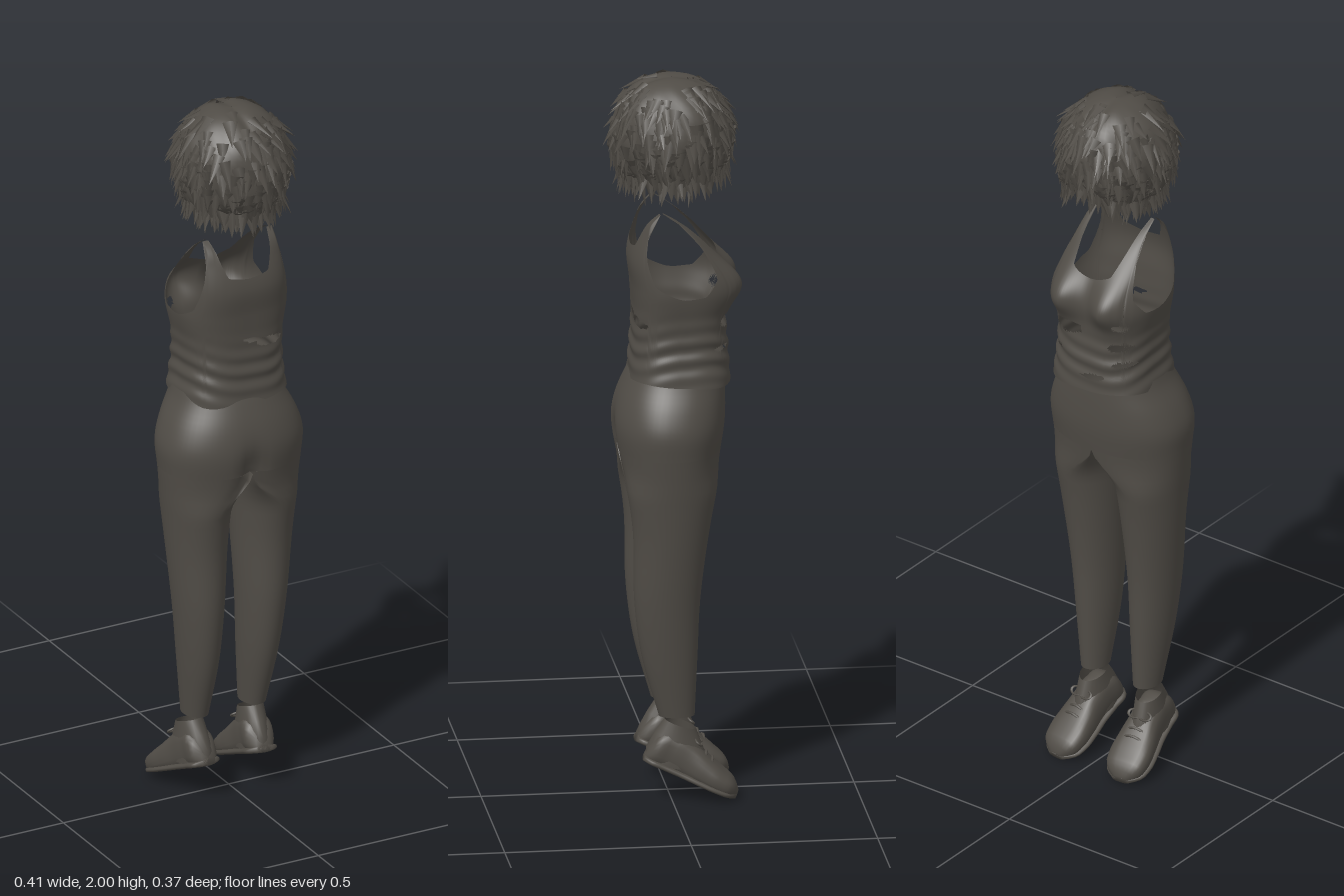
import * as THREE from 'three';
import { mergeGeometries } from 'three/addons/utils/BufferGeometryUtils.js';

const cloth = new THREE.MeshStandardMaterial({ color: 0x504c46, side: THREE.DoubleSide });
cloth.name = 'charcoal';

// Skin closed rings of points; skip(a, b, c) can leave out torn faces
function loft(rings, skip = () => false) {
  const n = rings[0].length, index = [];
  const pts = rings.flat();
  const face = (a, b, c) => { if (!skip(pts[a], pts[b], pts[c])) index.push(a, b, c); };
  for (let i = 0; i < rings.length - 1; i++) {
    for (let j = 0; j < n; j++) {
      const k = (j + 1) % n, a = i * n + j, b = i * n + k;
      face(a, b, a + n);
      face(b, b + n, a + n);
    }
  }
  const g = new THREE.BufferGeometry().setFromPoints(pts);
  g.setIndex(index);
  g.computeVertexNormals();
  return g;
}

function part(name, geometry, parent) {
  const m = new THREE.Mesh(geometry, cloth);
  m.name = name;
  parent.add(m);
  return m;
}

// Smooth or straight lookup in rows of [position, ...values]
function table(rows, Kind = THREE.CubicInterpolant) {
  const t = new Kind(rows.map(r => r[0]), rows.flatMap(r => r.slice(1)), rows[0].length - 1);
  return x => [...t.evaluate(x)];
}

const circle = (n, f) => Array.from({ length: n }, (_, j) => f(j / n * Math.PI * 2));
const steps = (n, a, b) => Array.from({ length: n + 1 }, (_, i) => a + (b - a) * i / n);
const soft = (v, p) => Math.sign(v) * Math.abs(v) ** p;
const bell = (d, w) => Math.exp(-d * d / (w * w));
const V = (x, y, z) => new THREE.Vector3(x, y, z);

// ---- Trousers: legs blend into half outlines of the hips ----
const hipAt = table([ // y, half width, front z, back z
  [0.9, 0.193, -0.127, 0.127], [0.97, 0.2, -0.14, 0.143], [1.04, 0.204, -0.15, 0.149],
  [1.1, 0.186, -0.152, 0.138], [1.17, 0.15, -0.15, 0.11], [1.19, 0.144, -0.148, 0.1]]);
const legAt = table([ // y, inner x, outer x, front z, back z
  [0.23, 0.052, 0.121, -0.063, 0.033], [0.4, 0.038, 0.142, -0.07, 0.08],
  [0.55, 0.03, 0.158, -0.076, 0.1], [0.75, 0.018, 0.178, -0.1, 0.105],
  [0.9, 0.006, 0.193, -0.127, 0.127], [0.97, 0, 0.2, -0.14, 0.143]]);

function hipPoint(a, y) {
  const [w, zf, zb] = hipAt(y);
  const x = w * soft(Math.sin(a), 0.9);
  let z = (zf + zb) / 2 + (zb - zf) / 2 * soft(Math.cos(a), 0.9);
  // soft cleft at the back
  if (Math.cos(a) > 0) z -= 0.025 * bell(x, 0.03) * bell(y - 0.97, 0.07);
  return V(x, y, z);
}

function legGeometry(side) {
  return loft(steps(30, 0.23, 0.97).map(y => {
    const [xi, xo, zf, zb] = legAt(y);
    const t = THREE.MathUtils.smoothstep(y, 0.84, 0.97);
    const ring = circle(40, a => {
      const p = V((xi + xo) / 2 + (xo - xi) / 2 * Math.sin(a), y, (zf + zb) / 2 + (zb - zf) / 2 * Math.cos(a));
      if (t > 0) {
        const h = hipPoint(a, y);
        h.x = Math.max(h.x, 0);
        p.lerp(h, t);
      }
      p.x = p.x * side - 0.012 * (0.97 - y);
      return p;
    });
    return side < 0 ? ring.reverse() : ring;
  }));
}

// ---- Vest: its upper edge forms neckline, shoulder straps and armholes ----
const vestAt = table([ // y, half width, front z, back z
  [1.16, 0.153, -0.163, 0.108], [1.25, 0.14, -0.157, 0.1], [1.34, 0.142, -0.15, 0.096],
  [1.42, 0.154, -0.152, 0.1], [1.5, 0.145, -0.122, 0.107], [1.57, 0.135, -0.07, 0.088],
  [1.61, 0.13, -0.02, 0.066], [1.635, 0.13, 0.024, 0.034]]);
const edgeAt = table([ // angle from the back, edge height
  [0, 1.53], [0.3, 1.54], [0.48, 1.59], [0.6, 1.635], [0.83, 1.635], [0.9, 1.54], [1.1, 1.445],
  [1.57, 1.41], [1.85, 1.415], [2.2, 1.46], [2.36, 1.55], [2.42, 1.635], [2.58, 1.635],
  [2.7, 1.57], [2.84, 1.51], [3.1416, 1.49]], THREE.LinearInterpolant);
const tears = [ // x, y, half width, half height, back (+1) or front (-1)
  [0.075, 1.33, 0.045, 0.013, 1], [0.07, 1.335, 0.05, 0.02, -1], [0.02, 1.345, 0.025, 0.008, 1],
  [-0.09, 1.31, 0.03, 0.011, -1], [-0.1, 1.26, 0.025, 0.008, -1], [-0.02, 1.21, 0.035, 0.008, -1],
  [0.11, 1.26, 0.02, 0.008, -1], [-0.1, 1.38, 0.018, 0.012, -1]];

function vestPoint(a, v) {
  const [edge] = edgeAt(a > Math.PI ? 2 * Math.PI - a : a);
  const hem = 1.163 + 0.008 * Math.sin(a * 2);
  const y = hem + (edge - hem) * v;
  const [w, zf, zb] = vestAt(y);
  const sx = soft(Math.sin(a), 0.7), sz = soft(Math.cos(a), 0.7);
  // gathered folds at the waist
  const fold = 1 + 0.022 * Math.sin(y * 130 + 2.5 * Math.sin(a * 2 + 1)) * bell(y - 1.25, 0.07);
  const x = w * sx * fold;
  let z = (zf + zb) / 2 + (zb - zf) / 2 * sz * fold;
  if (sz < 0) z -= 0.045 * bell(Math.abs(x) - 0.076, 0.055) * bell(y - 1.435, 0.065);
  return V(x + 0.008, y, z);
}

function torn(a, b, c) {
  const x = (a.x + b.x + c.x) / 3, y = (a.y + b.y + c.y) / 3, z = (a.z + b.z + c.z) / 3;
  return tears.some(([tx, ty, w, h, s]) => (z + 0.02) * s > 0
    && ((x - tx) / w) ** 2 + ((y - ty - (x - tx) * -0.1) / h) ** 2 < 1);
}

// ---- Shoes: tipped onto their toes ----
const shoeAt = table([ // distance from heel, half width, height
  [0, 0.02, 0.05], [0.012, 0.036, 0.085], [0.06, 0.042, 0.11], [0.11, 0.046, 0.1],
  [0.16, 0.055, 0.08], [0.21, 0.059, 0.062], [0.25, 0.046, 0.045], [0.268, 0.02, 0.025]]);

function makeShoe(side) {
  const shoe = new THREE.Group();
  shoe.name = side > 0 ? 'leftShoe' : 'rightShoe';
  const foot = new THREE.Group();
  foot.name = 'foot';
  foot.position.set(0, 0.107, 0.076);
  foot.rotation.x = -0.42;
  shoe.add(foot);
  const section = (d, grow, top) => {
    const [w, h] = shoeAt(d);
    const hh = top ?? h;
    return circle(24, a => V((w + grow) * soft(Math.sin(a), 0.75), hh / 2 + hh / 2 * soft(Math.cos(a), 0.75), -d));
  };
  const cap = rings => {
    const mid = r => { const c = r.reduce((s, p) => s.add(p), V(0, 0, 0)).divideScalar(r.length); return r.map(() => c.clone()); };
    return [mid(rings[0]), ...rings, mid(rings[rings.length - 1])];
  };
  part('upper', loft(cap(steps(24, 0, 0.268).map(d => section(d, 0)))), foot);
  part('sole', loft(cap(steps(24, 0, 0.268).map(d => section(d, 0.004, 0.02)))), foot);
  // ankle collar with an opening that slopes to the front
  part('ankleCollar', loft([[0.09, 0.042, -0.1, 0.068], [0.13, 0.042, -0.094, 0.066],
    [0.17, 0.037, -0.08, 0.043], [0.207, 0.034, -0.066, 0.018]].map(([y, w, zf, zb]) =>
    circle(24, a => V(w * Math.sin(a), y + 0.014 * Math.cos(a), (zf + zb) / 2 + (zb - zf) / 2 * Math.cos(a))))), shoe);
  // laces over the instep
  for (let i = 0; i < 3; i++) {
    const d = 0.125 + i * 0.022, [w, h] = shoeAt(d);
    const path = new THREE.CatmullRomCurve3([V(-w * 0.85, h * 0.75, -d), V(0, h + 0.003, -d), V(w * 0.85, h * 0.75, -d)]);
    part('lace', new THREE.TubeGeometry(path, 10, 0.004, 6), foot);
  }
  for (const s of [-1, 1]) {
    const loop = part('bowLoop', new THREE.TorusGeometry(0.012, 0.003, 6, 14), foot);
    loop.position.set(s * 0.016, 0.107, -0.115);
    loop.rotation.x = 1.2;
    loop.scale.x = 1.5;
  }
  shoe.rotation.y = -0.1 * side;
  shoe.position.x = 0.09 * side - 0.014;
  return shoe;
}

// ---- Hair: lumpy dome covered with pointed locks ----
let seed = 7;
const rnd = () => (seed = (seed * 16807) % 2147483647) / 2147483647;
const hairEnd = a => 2.3 - 0.3 * bell(Math.abs(a - Math.PI), 0.7);

function hairPoint(a, phi) {
  const lump = 1 + 0.025 * Math.sin(a * 5 + phi * 4) * Math.sin(phi) + 0.015 * Math.sin(a * 11 - phi * 7) * Math.sin(phi);
  const part = 0.012 * bell(Math.sin(a) * Math.sin(phi), 0.1) * bell(phi - 0.5, 0.5);
  const s = soft(Math.sin(phi), 0.85) * lump;
  return V(0.014 + 0.152 * s * Math.sin(a), 1.832 + 0.162 * Math.cos(phi) - part, -0.008 + 0.16 * s * Math.cos(a));
}

function hairLocks() {
  const locks = [];
  const count = 560;
  for (let i = 0; i < count; i++) {
    const fringe = i < 110; // lowest row hangs free
    const a = fringe ? i / 110 * Math.PI * 2 : rnd() * Math.PI * 2;
    const phi = fringe ? hairEnd(a) - 0.15 * rnd() : 0.25 + (hairEnd(a) - 0.35) * Math.sqrt(rnd());
    const p = hairPoint(a, phi);
    const n = V(Math.sin(phi) * Math.sin(a), Math.cos(phi), Math.sin(phi) * Math.cos(a));
    const d = V(0, -1, 0).addScaledVector(n, n.y).normalize();
    if (fringe) d.set(0, -1, 0).addScaledVector(n, 0.15);
    d.addScaledVector(n, 0.22 * Math.sin(phi) * rnd()).add(V(rnd() - 0.5, 0, rnd() - 0.5).multiplyScalar(0.6)).normalize();
    const side = d.clone().cross(n).normalize();
    const out = side.clone().cross(d);
    const len = 0.05 + 0.035 * rnd();
    const g = new THREE.ConeGeometry(0.015 + 0.008 * rnd(), len, 5, 1, true);
    g.scale(1, 1, 0.4);
    g.translate(0, len * 0.3, 0);
    g.applyMatrix4(new THREE.Matrix4().makeBasis(side, d, out).setPosition(p));
    locks.push(g);
  }
  return mergeGeometries(locks);
}

export function createModel() {
  const model = new THREE.Group();
  model.name = 'clothedFigure';

  const trousers = new THREE.Group();
  trousers.name = 'trousers';
  part('hips', loft(steps(14, 0.97, 1.19).map(y => circle(64, a => hipPoint(a, y)))), trousers);
  part('leftLeg', legGeometry(1), trousers);
  part('rightLeg', legGeometry(-1), trousers);
  model.add(trousers);

  part('vest', loft(steps(72, 0, 1).map(v => circle(144, a => vestPoint(a, v))), torn), model);
  for (const side of [1, -1]) model.add(makeShoe(side));

  const hair = new THREE.Group();
  hair.name = 'hair';
  part('hairDome', loft(steps(24, 1, 0.001).map(t => circle(60, a => hairPoint(a, hairEnd(a) * t)))), hair);
  part('hairLocks', hairLocks(), hair);
  model.add(hair);
  return model;
}
